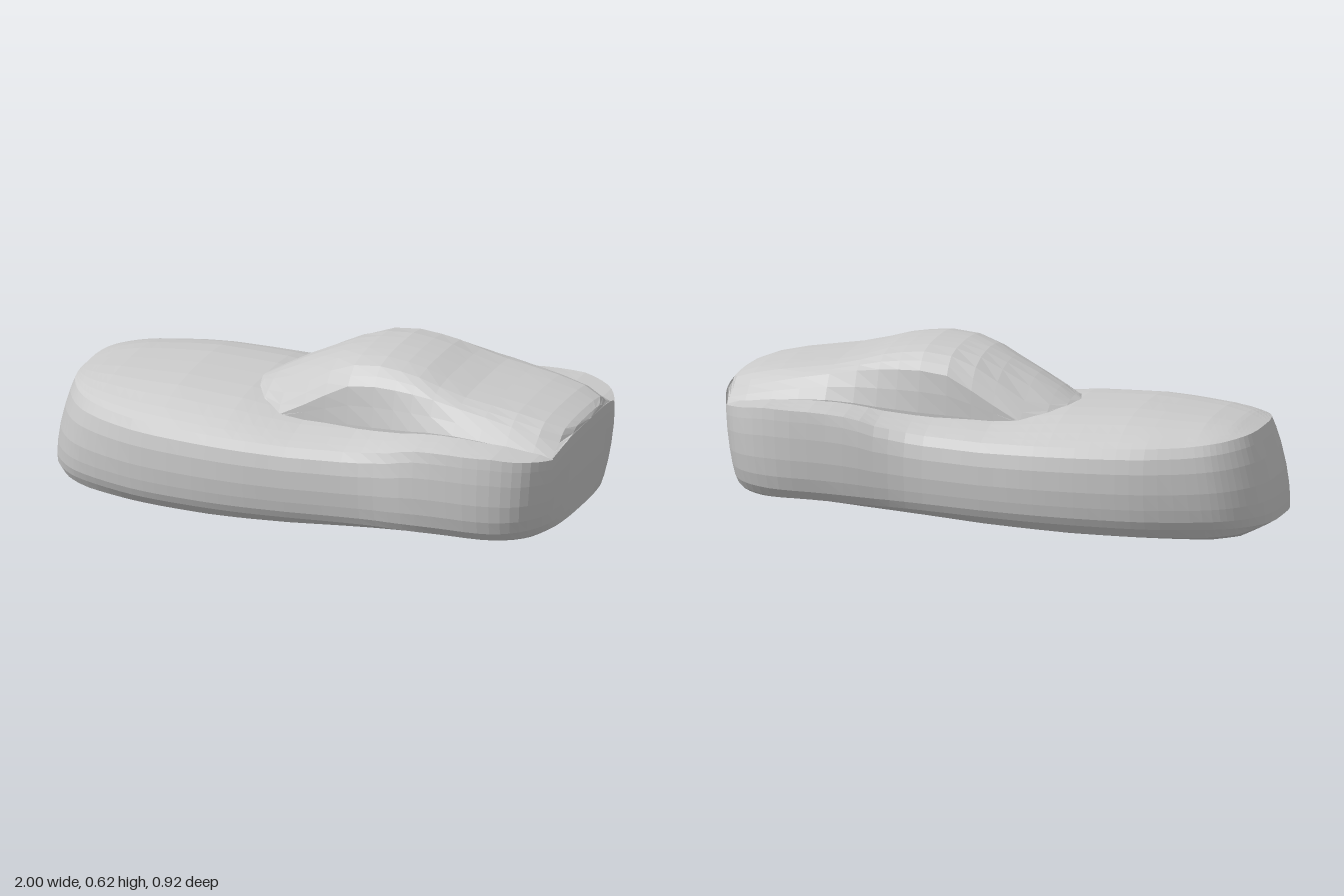
import * as THREE from 'three';

const material = new THREE.MeshStandardMaterial({ color: 0xcccccc, flatShading: true });
const { clamp, lerp, smoothstep } = THREE.MathUtils;

// Piecewise linear lookup: table of [x, value, value...] rows
function lookup(table, x, column = 1) {
  if (x <= table[0][0]) return table[0][column];
  for (let i = 1; i < table.length; i++) {
    const a = table[i - 1], b = table[i];
    if (x <= b[0]) return lerp(a[column], b[column], (x - a[0]) / (b[0] - a[0]));
  }
  return table[table.length - 1][column];
}

// Skin a row of mirrored sections; each half section runs bottom centre to top centre
function loft(name, halves) {
  const rings = halves.map((half) => [
    ...half,
    ...half.slice(1, -1).reverse().map(([x, y, z]) => [x, y, -z]),
  ]);
  const n = rings[0].length, index = [];
  for (let i = 0; i < rings.length - 1; i++) {
    for (let j = 0; j < n; j++) {
      const k = (j + 1) % n;
      const a = i * n + j, b = a + n, c = i * n + k, d = c + n;
      index.push(a, b, c, b, d, c);
    }
  }
  const geometry = new THREE.BufferGeometry();
  geometry.setAttribute('position', new THREE.Float32BufferAttribute(rings.flat(2), 3));
  geometry.setIndex(index);
  geometry.computeVertexNormals();
  const mesh = new THREE.Mesh(geometry, material);
  mesh.name = name;
  return mesh;
}

// Plan outline of one side: x, half width
const outline = [
  [-1, 0], [-0.997, 0.1], [-0.97, 0.2], [-0.9, 0.295], [-0.8, 0.358], [-0.6, 0.42],
  [-0.4, 0.447], [-0.2, 0.455], [0, 0.445], [0.28, 0.428], [0.5, 0.452], [0.75, 0.457],
  [0.9, 0.405], [0.972, 0.295], [0.995, 0.17], [1, 0],
];
// Heights along the car
const sill = [[-1, 0.05], [-0.6, 0.055], [0, 0.07], [0.3, 0.08], [0.6, 0.092], [0.8, 0.095], [1, 0.11]];
const floorLow = [
  [-1, 0.05], [-0.9, 0.01], [-0.8, 0], [-0.3, 0.01], [0, 0.025],
  [0.3, 0.05], [0.6, 0.085], [0.85, 0.08], [0.93, 0.088], [1, 0.11],
];
const shoulder = [
  [-1, 0.37], [-0.9, 0.36], [-0.75, 0.35], [-0.5, 0.345], [0, 0.34], [0.25, 0.35],
  [0.4, 0.378], [0.47, 0.405], [0.6, 0.42], [0.8, 0.425], [0.93, 0.408], [0.972, 0.394], [0.99, 0.432], [1, 0.45],
];
const crown = [
  [-1, 0.37], [-0.91, 0.395], [-0.8, 0.412], [-0.5, 0.432], [-0.25, 0.424], [-0.1, 0.405], [0, 0.395],
  [0.2, 0.402], [0.4, 0.42], [0.6, 0.445], [0.8, 0.428], [0.93, 0.408], [0.972, 0.394], [0.99, 0.432], [1, 0.45],
];
// Side wall: height fraction, inset on the front wings, inset on the rear wings
const wall = [
  [0, 0.03, 0.055], [0.1, 0.016, 0.03], [0.25, 0.007, 0.014], [0.45, 0, 0.004],
  [0.7, 0, 0], [0.88, 0.01, 0.002], [1, 0.03, 0.006],
];

function bodySection(x, w) {
  const low = lookup(floorLow, x), edge = lookup(sill, x), top = lookup(shoulder, x), mid = lookup(crown, x);
  const nose = clamp((-x - 0.6) / 0.4, 0, 1);
  const tail = clamp((x - 0.6) / 0.4, 0, 1);
  const rear = smoothstep(x, 0.2, 0.7);
  const small = Math.min(1, w / 0.35);
  // Raked nose and undercut tail
  const slant = (t) => x + 0.07 * nose * t ** 1.7 - 0.035 * tail * (1 - t) ** 1.5;
  const sides = wall.map(([t, front, back]) => [
    slant(t), lerp(edge, top, t), Math.max(0, w - lerp(front, back, rear) * small),
  ]);
  const floorWidth = sides[0][2], topWidth = sides[sides.length - 1][2];
  // Twin-bellied floor, higher along the middle
  const half = [[0, 0.03 * small], [0.4, 0.017 * small], [0.76, 0], [0.93, (edge - low) * 0.35]]
    .map(([s, lift]) => [slant(0), low + lift, floorWidth * s]);
  half.push(...sides);
  for (const s of [0.92, 0.82, 0.68, 0.5, 0.28, 0]) {
    half.push([slant(1), lerp(mid, top, s ** 3), topWidth * s]);
  }
  return half;
}

// Cabin: x, base half width, base y, roof edge half width, roof edge y, roof y
const cabin = [
  [-0.26, 0.03, 0.415, 0.02, 0.418, 0.421],
  [-0.23, 0.12, 0.405, 0.11, 0.415, 0.436],
  [-0.18, 0.195, 0.39, 0.19, 0.4, 0.467],
  [-0.1, 0.25, 0.378, 0.248, 0.385, 0.512],
  [0, 0.25, 0.384, 0.25, 0.44, 0.56],
  [0.08, 0.252, 0.389, 0.25, 0.488, 0.594],
  [0.17, 0.26, 0.395, 0.25, 0.537, 0.615],
  [0.27, 0.272, 0.402, 0.25, 0.55, 0.623],
  [0.35, 0.282, 0.41, 0.251, 0.549, 0.614],
  [0.42, 0.292, 0.418, 0.253, 0.545, 0.6],
  [0.5, 0.304, 0.43, 0.256, 0.537, 0.573],
  [0.6, 0.318, 0.438, 0.26, 0.52, 0.547],
  [0.7, 0.318, 0.434, 0.258, 0.502, 0.533],
  [0.8, 0.312, 0.424, 0.255, 0.48, 0.52],
  [0.9, 0.303, 0.408, 0.245, 0.455, 0.5],
  [0.968, 0.293, 0.393, 0.215, 0.432, 0.476],
  [0.99, 0.2, 0.433, 0.14, 0.443, 0.462],
  [0.999, 0.02, 0.448, 0.01, 0.45, 0.451],
];

function cabinSection([x, base, baseY, edge, edgeY, roofY]) {
  const sink = x < 0.93 ? 0.03 : 0.008;
  const half = [[x, baseY - sink, 0], [x, baseY - sink, base], [x, baseY, base]];
  half.push([x, lerp(baseY, edgeY, 0.5), lerp(edge, base, 0.55)]);
  // The windscreen is softly domed, the roof fuller towards its edges
  const full = smoothstep(x, -0.25, 0.25);
  for (const [s, h] of [[1, 0], [0.9, 0.42], [0.76, 0.78], [0.48, 0.94], [0.24, 0.985], [0, 1]]) {
    half.push([x, lerp(edgeY, roofY, lerp(1 - s * s, h, full)), edge * s]);
  }
  return half;
}

export function createModel() {
  const group = new THREE.Group();
  group.name = 'car';

  // Lower shell with bonnet, wings, tail and floor
  const plan = new THREE.SplineCurve(outline.map(([x, w]) => new THREE.Vector2(x, w)));
  group.add(loft('body', plan.getPoints(60).map((p) => bodySection(clamp(p.x, -1, 1), Math.max(0, p.y)))));

  // Windscreen, roof, side windows and fastback
  group.add(loft('cabin', cabin.map(cabinSection)));

  return group;
}
